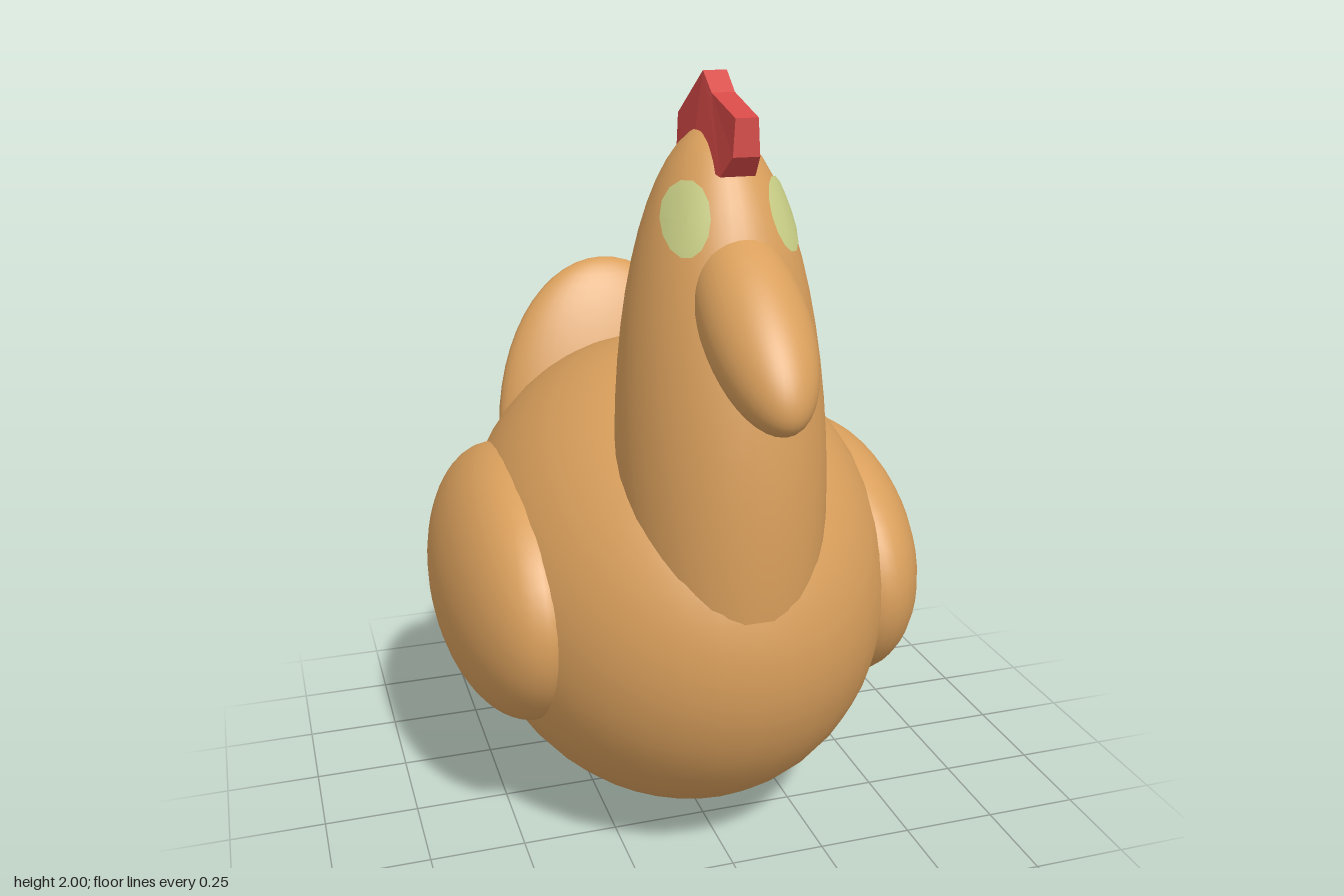
import * as THREE from 'three';

const tan = new THREE.MeshStandardMaterial({ color: 0xd99f5c });
tan.name = 'tan';
const red = new THREE.MeshStandardMaterial({ color: 0xd64a47, flatShading: true });
red.name = 'combRed';
const paleGreen = new THREE.MeshStandardMaterial({ color: 0xc9cf86, side: THREE.DoubleSide });
paleGreen.name = 'eyeGreen';

// Unit sphere stretched to the given radii, leaning about x
function ellipsoid(name, center, radii, lean = 0) {
  const mesh = new THREE.Mesh(new THREE.SphereGeometry(1, 40, 28), tan);
  mesh.name = name;
  mesh.position.set(...center);
  mesh.scale.set(...radii);
  mesh.rotation.x = lean;
  return mesh;
}

// Thin oval patch hugging the unit sphere of the neck
function eyePatch(side) {
  const geo = new THREE.RingGeometry(0.001, 1, 14, 4);
  const pos = geo.attributes.position;
  for (let i = 0; i < pos.count; i++) {
    const a = pos.getX(i), b = pos.getY(i);
    const u = 0.45 + 0.17 * a - 0.05 * b;
    const v = 0.739 + 0.1 * b;
    const w = Math.sqrt(Math.max(0, 1 - u * u - v * v));
    pos.setXYZ(i, side * u * 1.02, v * 1.02, w * 1.02);
  }
  geo.computeVertexNormals();
  const mesh = new THREE.Mesh(geo, paleGreen);
  mesh.name = side > 0 ? 'leftEye' : 'rightEye';
  return mesh;
}

// Comb: trapezoid cross-sections lofted from front to back
function comb() {
  // outer z, outer y, inner z, inner y, outer half width, inner half width
  const stations = [
    [0.52, 1.915, 0.52, 1.83, 0.027, 0.032],
    [0.36, 1.955, 0.465, 1.78, 0.028, 0.042],
    [0.3, 2.0, 0.3, 1.8, 0.029, 0.056],
    [0.1, 1.885, 0.2, 1.74, 0.026, 0.05],
    [0.08, 1.785, 0.14, 1.69, 0.024, 0.04],
    [-0.01, 1.625, 0.105, 1.655, 0.02, 0.027],
  ];
  const verts = [], index = [];
  for (const [oz, oy, iz, iy, wo, wi] of stations) {
    verts.push(wo, oy, oz, -wo, oy, oz, -wi, iy, iz, wi, iy, iz);
  }
  const last = (stations.length - 1) * 4;
  for (let s = 0; s < last; s += 4) {
    for (let k = 0; k < 4; k++) {
      const a = s + k, b = s + ((k + 1) % 4);
      index.push(a, a + 4, b, b, a + 4, b + 4);
    }
  }
  index.push(0, 1, 2, 0, 2, 3, last, last + 2, last + 1, last, last + 3, last + 2);
  const geo = new THREE.BufferGeometry();
  geo.setAttribute('position', new THREE.Float32BufferAttribute(verts, 3));
  geo.setIndex(index);
  const flat = geo.toNonIndexed();
  flat.computeVertexNormals();
  const mesh = new THREE.Mesh(flat, red);
  mesh.name = 'comb';
  return mesh;
}

export function createModel() {
  const model = new THREE.Group();
  model.name = 'hen';

  // Body, tail and beak
  model.add(ellipsoid('body', [0, 0.632, -0.077], [0.57, 0.628, 0.757]));
  model.add(ellipsoid('tail', [0, 0.81, -0.665], [0.36, 0.558, 0.122], -0.22));
  model.add(ellipsoid('beak', [0, 1.47, 0.583], [0.125, 0.125, 0.3], 0.645));

  // Neck and head in one, with the eyes lying on it
  const neck = ellipsoid('neck', [0, 1.05, 0.363], [0.255, 0.835, 0.295], -0.083);
  neck.add(eyePatch(1), eyePatch(-1));
  model.add(neck, comb());

  // Wings
  for (const side of [1, -1]) {
    const name = side > 0 ? 'leftWing' : 'rightWing';
    model.add(ellipsoid(name, [side * 0.45, 0.635, -0.08], [0.215, 0.355, 0.5]));
  }
  return model;
}
